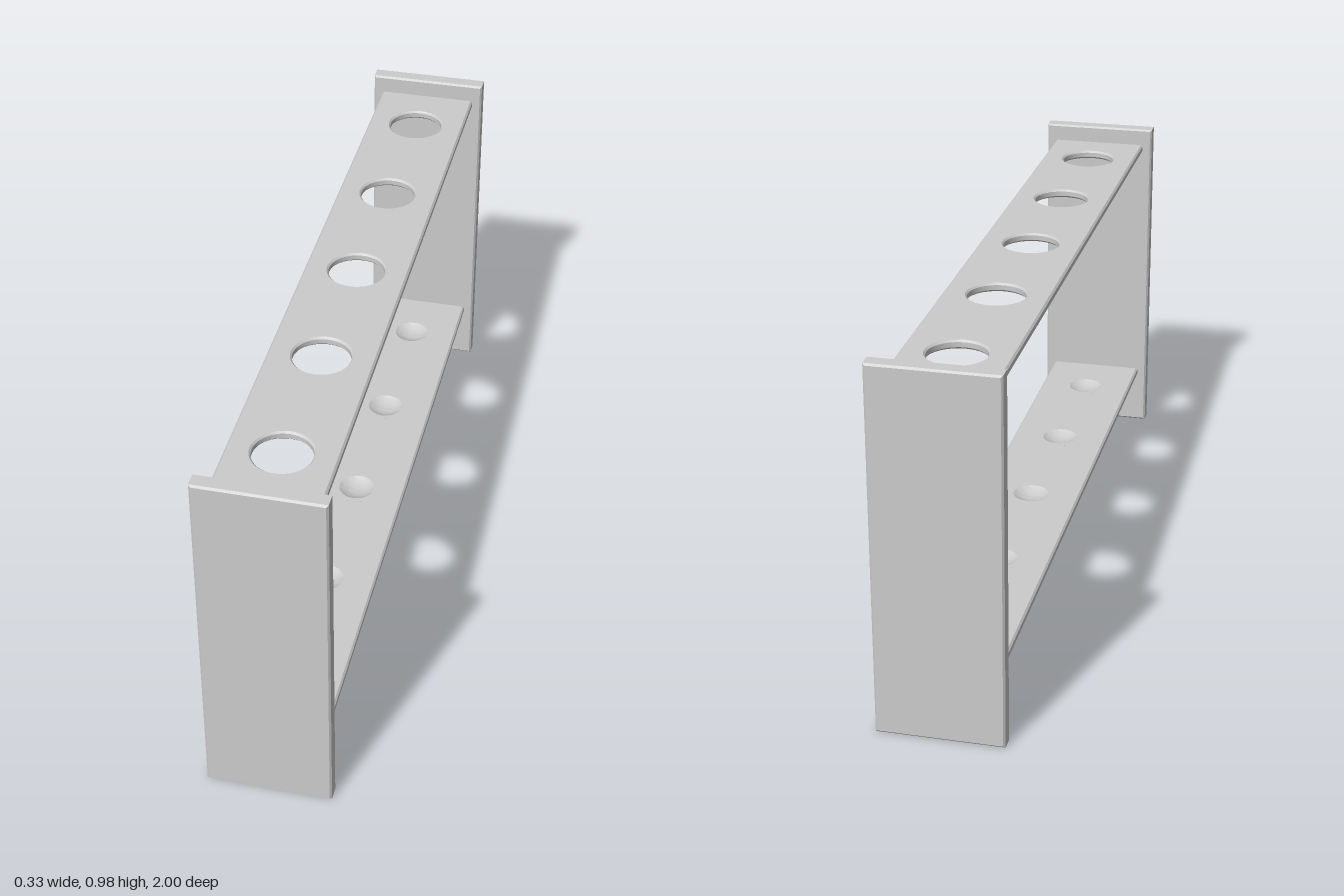
import * as THREE from 'three';
import { toCreasedNormals } from 'three/addons/utils/BufferGeometryUtils.js';

const BEVEL = 0.005;
const SLOTS = [-0.78, -0.39, 0, 0.39, 0.78];
const HOLE_R = 0.075;
const SHELF_T = 0.023;
const material = new THREE.MeshStandardMaterial({ color: 0xcccccc });

// Chamfered rectangular board, centred in its plane, lying from z = 0 to z = t
function board(w, h, t, holeRadius = 0) {
  const shape = new THREE.Shape([
    new THREE.Vector2(-w / 2, -h / 2), new THREE.Vector2(w / 2, -h / 2),
    new THREE.Vector2(w / 2, h / 2), new THREE.Vector2(-w / 2, h / 2),
  ]);
  if (holeRadius) {
    for (const p of SLOTS) shape.holes.push(new THREE.Path().absarc(0, p, holeRadius, 0, Math.PI * 2, true));
  }
  const geo = new THREE.ExtrudeGeometry(shape, {
    depth: t - 2 * BEVEL, bevelEnabled: true, bevelSegments: 1,
    bevelSize: BEVEL, bevelThickness: BEVEL, bevelOffset: -BEVEL, curveSegments: 20,
  });
  geo.translate(0, 0, BEVEL);
  return toCreasedNormals(geo, 0.6);
}

// Solid plug filling a shelf hole, with a shallow round dimple in its top
function dimplePlug(r, dimpleR, depth) {
  const pts = [[0, 0], [r + BEVEL, 0], [r, BEVEL], [r, SHELF_T - BEVEL], [r + BEVEL, SHELF_T]];
  const sphereR = (dimpleR ** 2 + depth ** 2) / (2 * depth);
  const arc = Math.asin(dimpleR / sphereR);
  for (let i = 8; i >= 0; i--) {
    const a = (arc * i) / 8;
    pts.push([sphereR * Math.sin(a), SHELF_T - depth + sphereR * (1 - Math.cos(a))]);
  }
  const geo = new THREE.LatheGeometry(pts.map(([x, y]) => new THREE.Vector2(x, y)), 40);
  return toCreasedNormals(geo, 0.4);
}

export function createModel() {
  const group = new THREE.Group();
  const add = (name, geo, x, y, z) => {
    const mesh = new THREE.Mesh(geo, material);
    mesh.name = name;
    mesh.position.set(x, y, z);
    group.add(mesh);
    return mesh;
  };

  // Upright end panels
  const panel = board(0.328, 0.983, 0.045);
  add('frontPanel', panel, 0, 0.4915, 0.955);
  add('backPanel', panel, 0, 0.4915, -1);

  // Upper shelf with through holes, lower shelf with dimples beneath them
  const upper = board(0.274, 1.914, SHELF_T, HOLE_R).rotateX(-Math.PI / 2);
  add('upperShelf', upper, 0, 0.912, 0);

  const plugR = 0.06;
  const lower = board(0.274, 1.914, SHELF_T, plugR).rotateX(-Math.PI / 2);
  add('lowerShelf', lower, 0, 0.158, 0);
  const plug = dimplePlug(plugR, 0.05, 0.016);
  SLOTS.forEach((z, i) => add(`dimple${i + 1}`, plug, 0, 0.158, z));

  return group;
}
